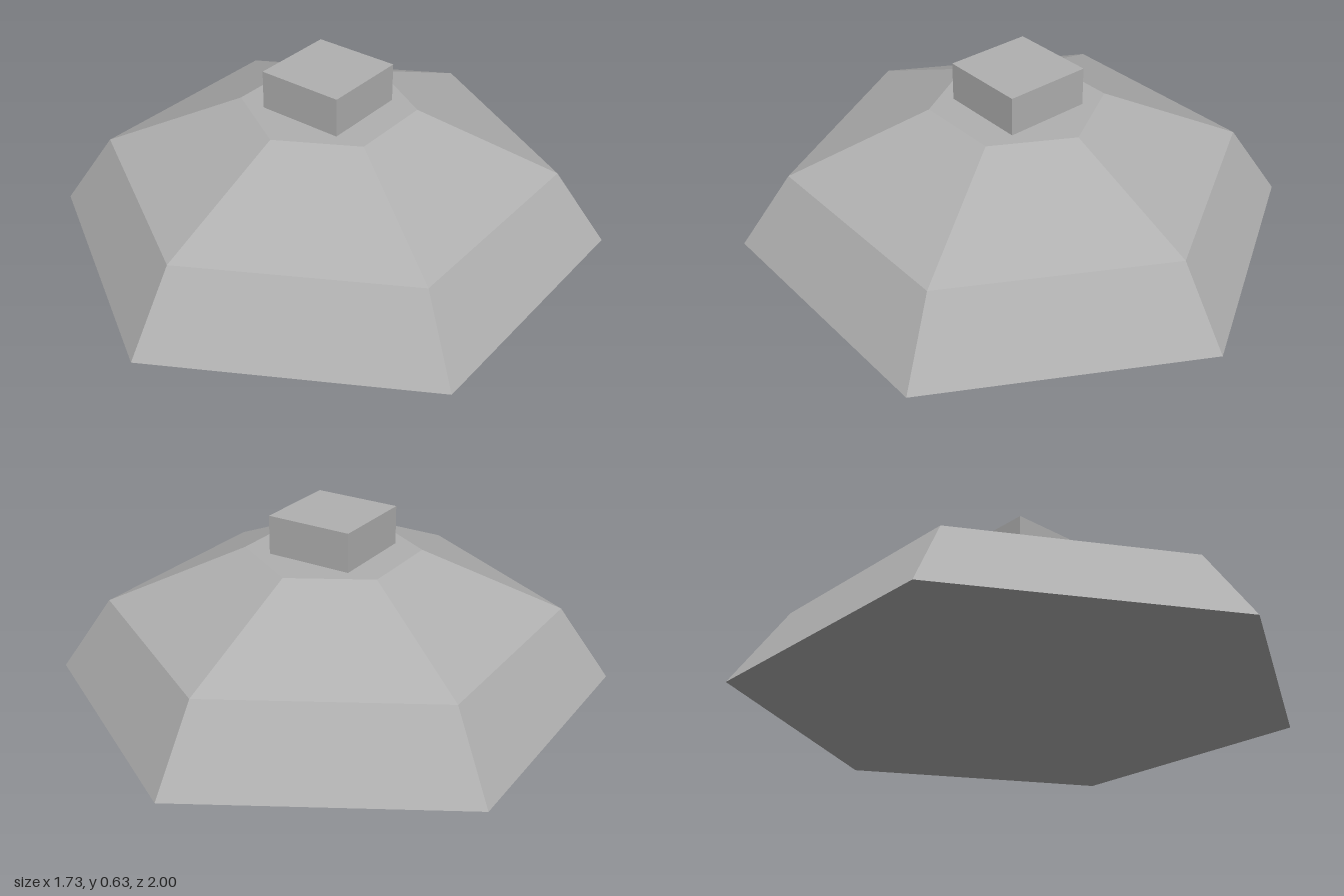
import * as THREE from 'three';

const BASE_R = 1, SHOULDER_R = 0.814, TOP_R = 0.312;
const SHOULDER_Y = 0.27, TOP_Y = 0.487;

// Flat facets baked into the normals
function faceted(geometry) {
  const flat = geometry.toNonIndexed();
  flat.computeVertexNormals();
  return flat;
}

// Six-sided shell: a tapered cylinder whose middle ring is pushed out to a shoulder
function hexShell() {
  const geo = new THREE.CylinderGeometry(TOP_R, BASE_R, TOP_Y, 6, 2);
  const pos = geo.attributes.position;
  const scale = SHOULDER_R / ((TOP_R + BASE_R) / 2);
  for (let i = 0; i < pos.count; i++) {
    if (Math.abs(pos.getY(i)) < 0.001) {
      pos.setXYZ(i, pos.getX(i) * scale, SHOULDER_Y - TOP_Y / 2, pos.getZ(i) * scale);
    }
  }
  geo.translate(0, TOP_Y / 2, 0);
  return faceted(geo);
}

export function createModel() {
  const grey = new THREE.MeshStandardMaterial({ color: 0xb0b0b0 });
  grey.name = 'grey';
  const model = new THREE.Group();
  model.name = 'hexagonalDome';

  const shell = new THREE.Mesh(hexShell(), grey);
  shell.name = 'domeShell';

  // Square block on the flat top
  const cap = new THREE.Mesh(new THREE.BoxGeometry(0.32, 0.14, 0.32), grey);
  cap.name = 'topBlock';
  cap.position.y = TOP_Y + 0.07;

  model.add(shell, cap);
  return model;
}
